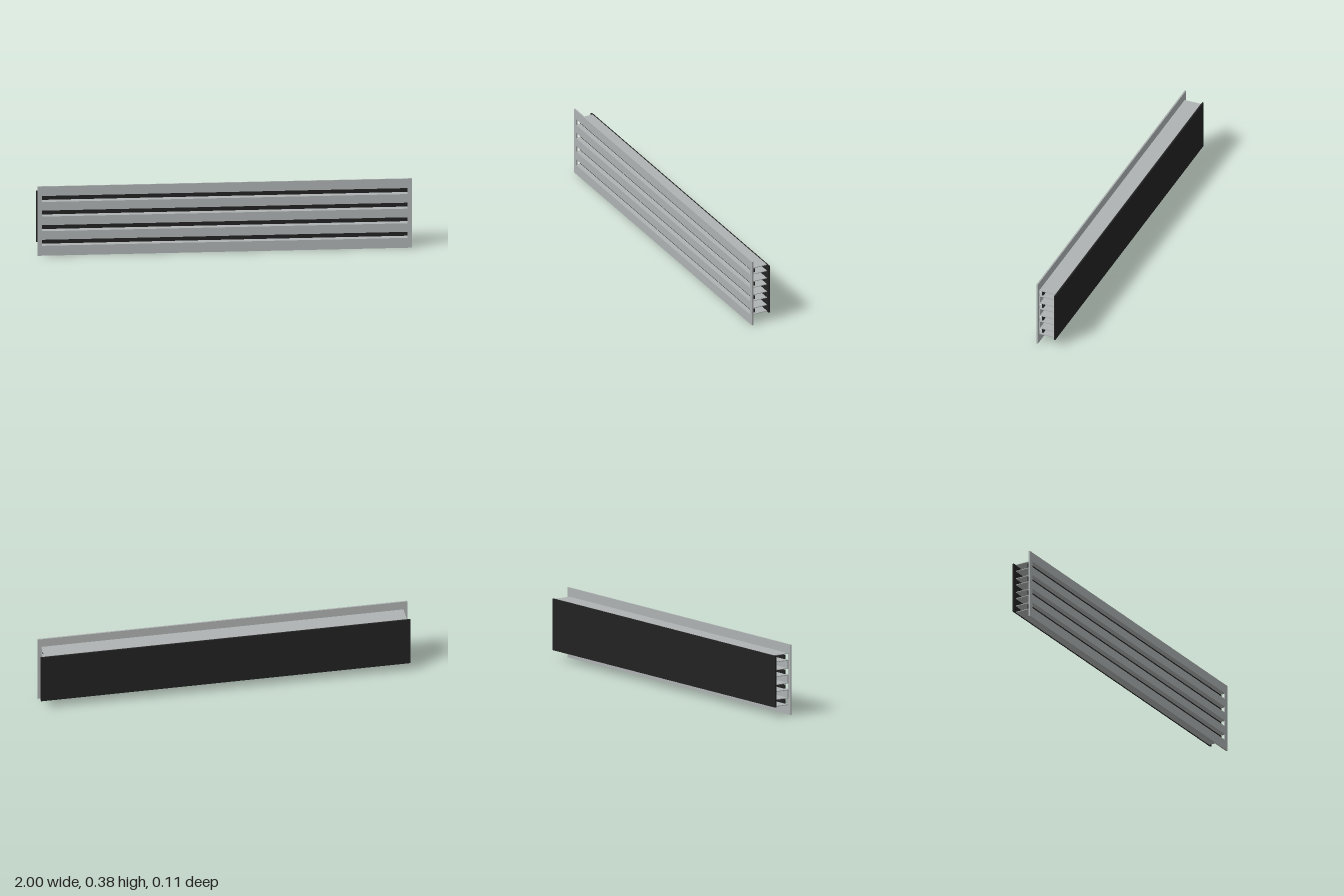
import * as THREE from 'three';

export function createModel() {
  const model = new THREE.Group();
  model.name = 'linearSlotDiffuser';
  const aluminium = new THREE.MeshStandardMaterial({ color: 0xaeb2b2 });
  aluminium.name = 'aluminium grey';
  const black = new THREE.MeshStandardMaterial({ color: 0x222222 });
  black.name = 'matt black';

  const slots = 4, pitch = 0.0802, first = 0.051;
  const fin = 0.0035, gap = 0.033; // fin thickness and slot opening
  const plateBack = 0.047, backFront = -0.046;

  // Box given by its extents in y and z, centred on x
  function bar(name, halfX, y0, y1, z0, z1, material) {
    const mesh = new THREE.Mesh(new THREE.BoxGeometry(halfX * 2, y1 - y0, z1 - z0), material);
    mesh.position.set(0, (y0 + y1) / 2, (z0 + z1) / 2);
    mesh.name = name;
    model.add(mesh);
  }

  // Face plate with one long opening per slot
  const rect = (path, hx, y0, y1) => path.moveTo(-hx, y0).lineTo(hx, y0).lineTo(hx, y1).lineTo(-hx, y1).closePath();
  const face = rect(new THREE.Shape(), 1, 0, 0.38);
  for (let i = 0; i < slots; i++) {
    const y = first + fin + i * pitch;
    face.holes.push(rect(new THREE.Path(), 0.976, y, y + gap));
  }
  const plate = new THREE.Mesh(
    new THREE.ExtrudeGeometry(face, { depth: 0.055 - plateBack, bevelEnabled: false }), aluminium);
  plate.position.z = plateBack;
  plate.name = 'facePlate';
  model.add(plate);

  // Rear panel
  bar('rearPanel', 1, 0.051, 0.33, -0.054, backFront, black);

  for (let i = 0; i < slots; i++) {
    const y = first + i * pitch;
    const top = y + fin + gap;
    // Fins below and above each slot, open at both ends
    bar('lowerFin', 0.98, y, y + fin, backFront, plateBack, aluminium);
    bar('upperFin', 0.98, top, top + fin, backFront, plateBack, aluminium);
    // Adjustable blade inside the slot
    bar('blade', 0.976, y + 0.0097, y + 0.031, 0.025, 0.033, black);
    // Web joining this channel to the next one, behind the face plate
    if (i < slots - 1) bar('channelWeb', 0.98, top + fin, y + pitch, 0.043, plateBack, aluminium);
  }
  return model;
}
